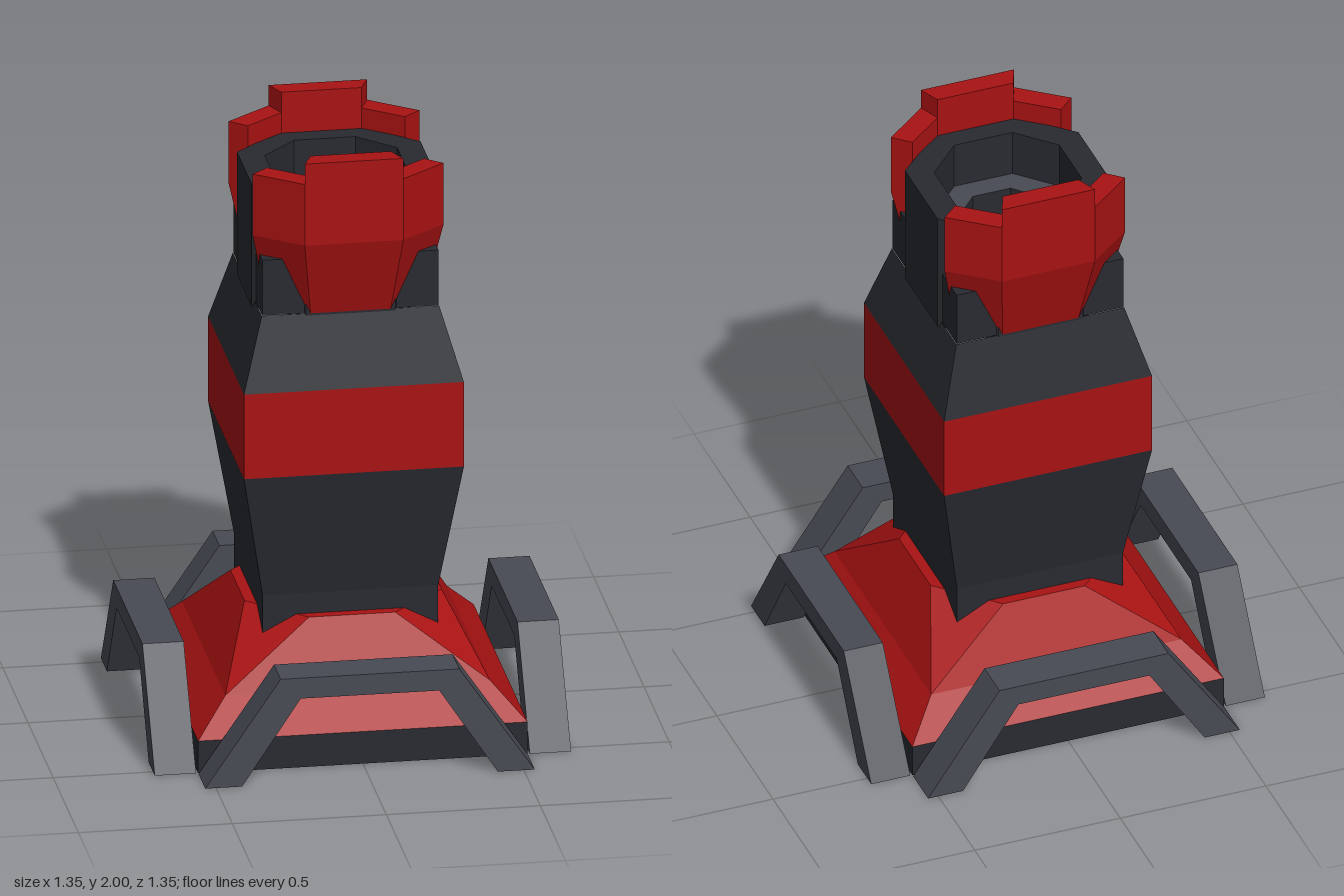
import * as THREE from 'three';

const mat = (color) => new THREE.MeshStandardMaterial({ color, flatShading: true });

// Flat-faced loft through rings of [y, [[x, z], ...]], points counterclockwise from above
function loft(rings, capStart = true, capEnd = true) {
  const pos = [];
  const pts = rings.map(([y, ring]) => ring.map(([x, z]) => new THREE.Vector3(x, y, z)));
  const tri = (a, b, c) => {
    const area = b.clone().sub(a).cross(c.clone().sub(a)).length();
    if (area > 1e-7) [a, b, c].forEach((p) => pos.push(p.x, p.y, p.z));
  };
  const n = pts[0].length;
  for (let r = 0; r < pts.length - 1; r++) {
    for (let i = 0; i < n; i++) {
      const j = (i + 1) % n, lo = pts[r], hi = pts[r + 1];
      tri(lo[i], lo[j], hi[j]);
      tri(lo[i], hi[j], hi[i]);
    }
  }
  const first = pts[0], last = pts[pts.length - 1];
  for (let i = 1; i < n - 1; i++) {
    if (capStart) tri(first[0], first[i + 1], first[i]);
    if (capEnd) tri(last[0], last[i], last[i + 1]);
  }
  const g = new THREE.BufferGeometry();
  g.setAttribute('position', new THREE.Float32BufferAttribute(pos, 3));
  g.computeVertexNormals();
  return g;
}

// Chamfered rectangle: half sizes hx, hz; straight edges end at cx, cz (square when equal)
const oct = (hx, hz = hx, cx = hx, cz = hz) => [
  [hx, cz], [hx, -cz], [cx, -hz], [-cx, -hz],
  [-hx, -cz], [-hx, cz], [-cx, hz], [cx, hz],
];

export function createModel() {
  const model = new THREE.Group();
  const red = mat(0xa81212), dark = mat(0x282a30), grey = mat(0x474a53);
  const add = (name, geometry, material, parent = model) => {
    const m = new THREE.Mesh(geometry, material);
    m.name = name;
    parent.add(m);
    return m;
  };

  // Base slab and faceted skirt with low corners
  add('baseSlab', loft([[0, oct(0.535)], [0.11, oct(0.535)]]), dark);
  add('baseSkirt', loft([
    [0.11, oct(0.535)], [0.22, oct(0.43)], [0.43, oct(0.32, 0.32, 0.14, 0.14)],
  ], false), red);

  // Square body with a coloured band
  add('lowerBody', loft([[0.3, oct(0.285)], [0.5, oct(0.285)], [0.93, oct(0.357)]]), dark);
  add('bodyBand', loft([[0.93, oct(0.357)], [1.22, oct(0.357)]], false, false), red);
  add('shoulder', loft([[1.22, oct(0.357)], [1.46, oct(0.288)]], false, false), dark);

  // Collar around the tower, open in the middle
  const well = oct(0.215, 0.22, 0.1, 0.1);
  add('collar', loft([[1.46, oct(0.286)], [1.65, oct(0.286)], [1.65, well]], false, false), dark);

  // Octagonal tower, hollow with a stepped bore
  const tower = oct(0.298, 0.29, 0.145, 0.145);
  const bore = oct(0.13, 0.145, 0.065, 0.075);
  add('tower', loft([[1.44, tower], [1.86, tower], [1.86, well], [1.7, well]], false, false), dark);
  add('boreLedge', loft([[1.7, well], [1.7, bore]], false, false), grey);
  add('bore', loft([[1.7, bore], [1.6, bore]], false, true), dark);

  // Armour crown: a centre plate and two angled wings, front and back
  const plate = (b, zo, bi, zi) => [[b, zo], [bi, zi], [-bi, zi], [-b, zo]];
  const plateTop = plate(0.16, 0.36, 0.13, 0.29);
  const wingLow = [[0.13, 0.29], [0.255, 0.19], [0.245, 0.18], [0.12, 0.28]];
  const wingTop = [[0.16, 0.36], [0.31, 0.24], [0.255, 0.19], [0.13, 0.29]];
  const mirror = (ring) => ring.map(([x, z]) => [-x, z]).reverse();
  for (const [side, turn] of [['front', 0], ['back', Math.PI]]) {
    const crown = new THREE.Group();
    crown.name = side + 'Crown';
    crown.rotation.y = turn;
    add('centrePlate', loft([[1.46, plate(0.13, 0.29, 0.12, 0.28)], [1.72, plateTop], [2, plateTop]]), red, crown);
    add('leftWing', loft([[1.46, wingLow], [1.72, wingTop], [1.93, wingTop]]), red, crown);
    add('rightWing', loft([[1.46, mirror(wingLow)], [1.72, mirror(wingTop)], [1.93, mirror(wingTop)]]), red, crown);
    model.add(crown);
  }

  // Arched guard frames on all four sides
  const arch = new THREE.Shape([
    [-0.535, 0], [-0.415, 0], [-0.225, 0.29], [0.225, 0.29],
    [0.415, 0], [0.535, 0], [0.29, 0.36], [-0.29, 0.36],
  ].map(([x, y]) => new THREE.Vector2(x, y)));
  const archGeo = new THREE.ExtrudeGeometry(arch, { depth: 0.134, bevelEnabled: false });
  archGeo.translate(0, 0, 0.542);
  ['front', 'left', 'back', 'right'].forEach((side, i) => {
    add(side + 'Guard', archGeo, grey).rotation.y = (i * Math.PI) / 2;
  });

  return model;
}
